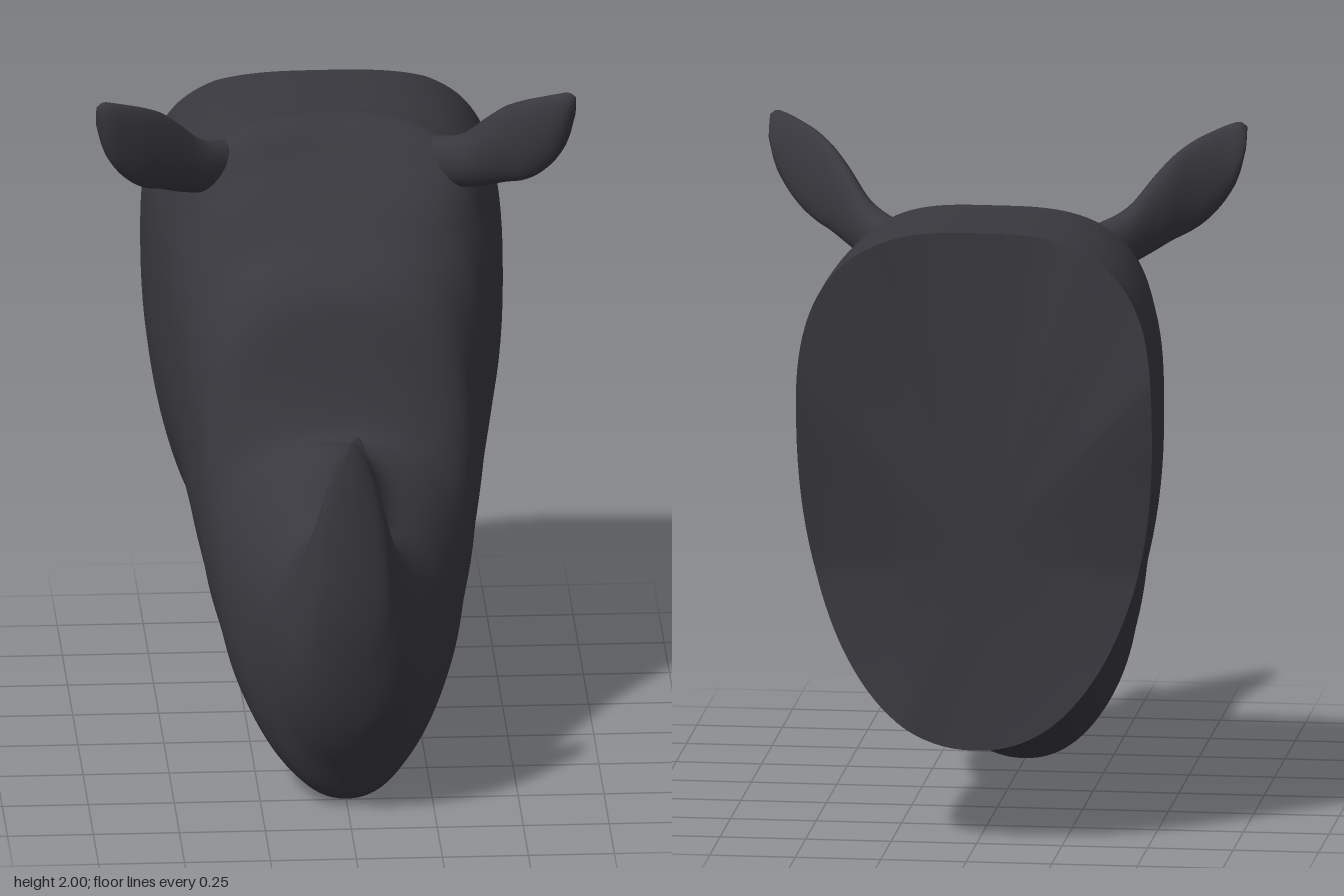
import * as THREE from 'three';

const { clamp, lerp, mapLinear, smoothstep } = THREE.MathUtils;
const hide = new THREE.MeshStandardMaterial({ color: 0x38383e });
hide.name = 'charcoalHide';

// Smoothly resample key rows; the first column is the parameter.
function resample(keys, steps) {
  const width = keys[0].length - 1;
  const spline = new THREE.CubicInterpolant(
    keys.map(k => k[0]), keys.flatMap(k => k.slice(1)), width, new Float32Array(width));
  const a = keys[0][0], b = keys[keys.length - 1][0];
  return Array.from({ length: steps + 1 }, (_, i) => {
    const t = lerp(a, b, i / steps);
    return [t, ...spline.evaluate(t)];
  });
}

// Closed ring of points made by a function of (cos, sin).
function ring(count, point) {
  return Array.from({ length: count }, (_, i) => {
    const a = i / count * Math.PI * 2;
    return point(Math.cos(a), Math.sin(a));
  });
}

function makeGeometry(points, index) {
  const g = new THREE.BufferGeometry();
  g.setAttribute('position', new THREE.Float32BufferAttribute(points.flatMap(p => [p.x, p.y, p.z]), 3));
  g.setIndex(index);
  g.computeVertexNormals();
  return g;
}

// Skin a list of rings and close the far end, with faces outward.
function loft(rings) {
  const n = rings[0].length, last = rings.length - 1;
  const points = rings.flat(), index = [];
  const centre = new THREE.Vector3();
  rings[last].forEach(p => centre.addScaledVector(p, 1 / n));
  const c = points.push(centre) - 1;
  for (let i = 0; i < n; i++) {
    const j = (i + 1) % n;
    for (let r = 0; r < last; r++) {
      const a = r * n + i, b = r * n + j;
      index.push(a, b, b + n, a, b + n, a + n);
    }
    index.push(c, last * n + i, last * n + j);
  }
  return makeGeometry(points, index);
}

const power = (v, n) => Math.sign(v) * Math.pow(Math.abs(v), 2 / n);

// Skull, neck, muzzle and front horn:
// z, half width, bottom, widest height, top, upper squareness
const headKeys = [
  [-0.80, 0.52, 0.29, 1.25, 1.81, 3],
  [-0.60, 0.52, 0.29, 1.24, 1.81, 3],
  [-0.45, 0.512, 0.29, 1.23, 1.81, 3],
  [-0.38, 0.503, 0.32, 1.21, 1.81, 3],
  [-0.30, 0.49, 0.31, 1.18, 1.81, 3],
  [-0.25, 0.48, 0.29, 1.15, 1.78, 3],
  [-0.20, 0.47, 0.27, 1.12, 1.72, 3],
  [-0.12, 0.45, 0.22, 1.04, 1.64, 3],
  [-0.05, 0.435, 0.18, 0.96, 1.54, 2.9],
  [0.05, 0.41, 0.135, 0.84, 1.45, 2.8],
  [0.10, 0.40, 0.115, 0.78, 1.37, 2.6],
  [0.15, 0.385, 0.10, 0.72, 1.18, 2.5],
  [0.20, 0.37, 0.08, 0.66, 1.05, 2.4],
  [0.28, 0.35, 0.05, 0.58, 1.00, 2.2],
  [0.40, 0.305, 0.008, 0.52, 0.92, 2.2],
  [0.48, 0.265, 0.006, 0.50, 0.87, 2.2],
  [0.56, 0.235, 0.035, 0.50, 0.88, 2],
  [0.64, 0.212, 0.15, 0.52, 0.94, 1.8],
  [0.70, 0.19, 0.24, 0.55, 1.005, 1.7],
  [0.75, 0.16, 0.35, 0.60, 1.09, 1.8],
  [0.79, 0.122, 0.49, 0.70, 1.17, 1.9],
  [0.82, 0.08, 0.65, 0.79, 1.225, 1.9],
  [0.83, 0.035, 0.75, 0.85, 1.23, 1.8],
];

// Depth of the wall-side edge at each height
const backKeys = [
  [0.29, -0.80], [0.35, -0.81], [0.5, -0.785], [0.8, -0.75], [1.1, -0.79], [1.25, -0.813],
  [1.4, -0.828], [1.5, -0.815], [1.6, -0.797], [1.7, -0.782], [1.77, -0.76], [1.81, -0.72],
];
function backDepth(y) {
  const i = Math.max(1, backKeys.findIndex(k => k[0] >= y));
  const [a, b] = [backKeys[i - 1], backKeys[i]];
  return mapLinear(y, a[0], b[0], a[1], b[1]);
}

// Small second horn: a narrow ridge rising forward, then dropping steeply
function smallHorn(x, z) {
  const rise = Math.pow(clamp((z - 0.24) / 0.245, 0, 1), 1.4);
  const drop = clamp((0.503 - z) / 0.018, 0, 1);
  const width = lerp(0.12, 0.05, rise);
  return 0.262 * rise * drop * Math.exp(-(((x - 0.035 * rise) / width) ** 2));
}

function headRings() {
  return resample(headKeys, 180).map(([z, w, bottom, mid, top, n]) => ring(120, (c, s) => {
    const e = s > 0 ? n : 2.15;
    const x = power(c, e) * w;
    const y = mid + power(s, e) * (s > 0 ? top - mid : mid - bottom);
    const k = (-0.45 - z) / 0.35;
    if (k > 0) return new THREE.Vector3(x, y, lerp(-0.45, backDepth(clamp(y, 0.29, 1.81)), k));
    // the crown edge curves forward towards the ears
    const crown = 0.5 * (x * x - 0.08) * smoothstep(y, 1.5, 1.72) * smoothstep(z, -0.45, -0.28);
    return new THREE.Vector3(x, y + (s > 0 ? smallHorn(x, z) : 0), z + crown);
  }));
}

// Shallow hollow back closing the neck
function backPlate(rim) {
  const n = rim.length, index = [];
  for (let i = 0; i < n; i++) index.push(n, (i + 1) % n, i);
  return makeGeometry([...rim, new THREE.Vector3(0, 0.85, -0.74)], index);
}

// Ear: x, bottom, top, z centre, half thickness
const earKeys = [
  [0.20, 1.59, 1.74, -0.43, 0.08],
  [0.30, 1.60, 1.755, -0.315, 0.08],
  [0.38, 1.62, 1.79, -0.225, 0.072],
  [0.45, 1.65, 1.87, -0.15, 0.06],
  [0.50, 1.675, 1.92, -0.105, 0.053],
  [0.55, 1.695, 1.953, -0.062, 0.046],
  [0.60, 1.73, 1.975, -0.03, 0.04],
  [0.65, 1.79, 1.993, -0.004, 0.034],
  [0.68, 1.85, 1.998, 0.004, 0.027],
  [0.697, 1.92, 1.985, 0.008, 0.014],
];
function ear(side) {
  return loft(resample(earKeys, 36).map(([x, bottom, top, z, t]) => ring(28, (c, s) => {
    // upper edge leans forward, lower edge leans back
    const y = (bottom + top) / 2 + s * (top - bottom) / 2;
    return new THREE.Vector3(side * x, y, z - side * c * t + s * 0.018);
  })));
}

export function createModel() {
  const model = new THREE.Group();
  model.name = 'wallMountedHornedHead';
  const add = (name, geometry) => {
    const mesh = new THREE.Mesh(geometry, hide);
    mesh.name = name;
    model.add(mesh);
  };
  const rings = headRings();
  add('headAndHorns', loft(rings));
  add('backPlate', backPlate(rings[0]));
  add('leftEar', ear(1));
  add('rightEar', ear(-1));
  return model;
}
